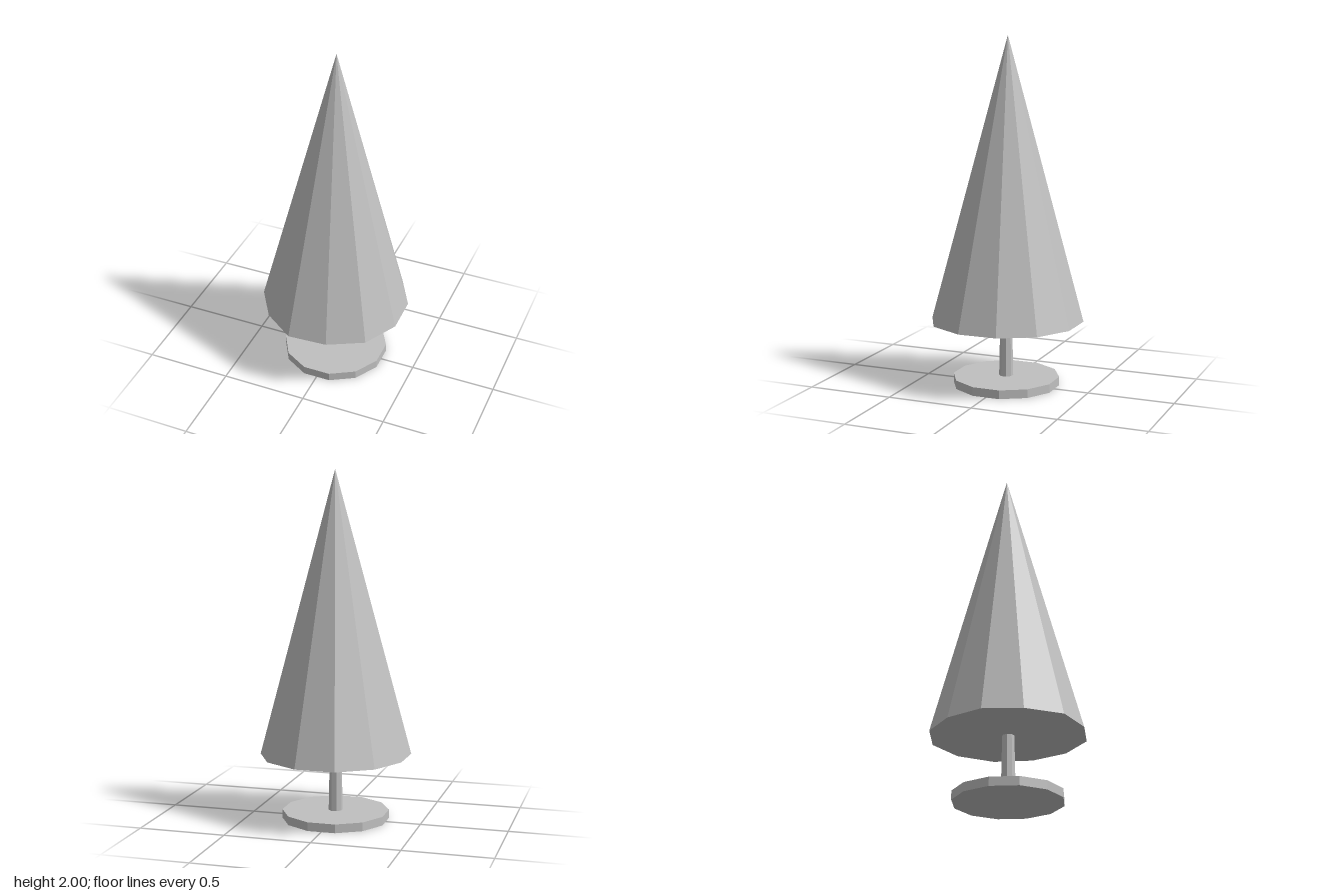
import * as THREE from 'three';

const STEP = Math.PI / 6;

// Slightly uneven radii of the foliage rim, one per corner, from front towards +x
const RIM = [0.431, 0.442, 0.434, 0.431, 0.438, 0.44, 0.445, 0.435, 0.425, 0.434, 0.424, 0.445];

export function createModel() {
  const group = new THREE.Group();
  group.name = 'tree';
  const grey = new THREE.MeshStandardMaterial({ color: 0xc0c0c0, flatShading: true });
  grey.name = 'plain grey';

  const add = (name, geometry, y) => {
    const mesh = new THREE.Mesh(geometry, grey);
    mesh.name = name;
    mesh.position.y = y;
    group.add(mesh);
  };

  // Round twelve-sided stand
  add('base', new THREE.CylinderGeometry(0.308, 0.308, 0.05, 12, 1, false, STEP / 2), 0.025);

  // Thin, slightly tapered trunk
  add('trunk', new THREE.CylinderGeometry(0.034, 0.041, 0.34, 8, 1, false, Math.PI / 8), 0.215);

  // Tall cone of foliage with a hand-cut rim and its tip a little to the back
  const height = 1.62;
  const cone = new THREE.ConeGeometry(1, height, 12, 1, false, STEP / 2);
  const p = cone.attributes.position;
  for (let i = 0; i < p.count; i++) {
    const x = p.getX(i), z = p.getZ(i);
    if (p.getY(i) > 0) {
      p.setZ(i, -0.01);
    } else if (Math.hypot(x, z) > 0.5) {
      const angle = Math.atan2(x, z) - STEP / 2;
      const r = RIM[(Math.round(angle / STEP) + 12) % 12];
      p.setX(i, x * r);
      p.setZ(i, z * r);
    }
  }
  cone.computeVertexNormals();
  add('foliage', cone, 0.38 + height / 2);

  return group;
}
